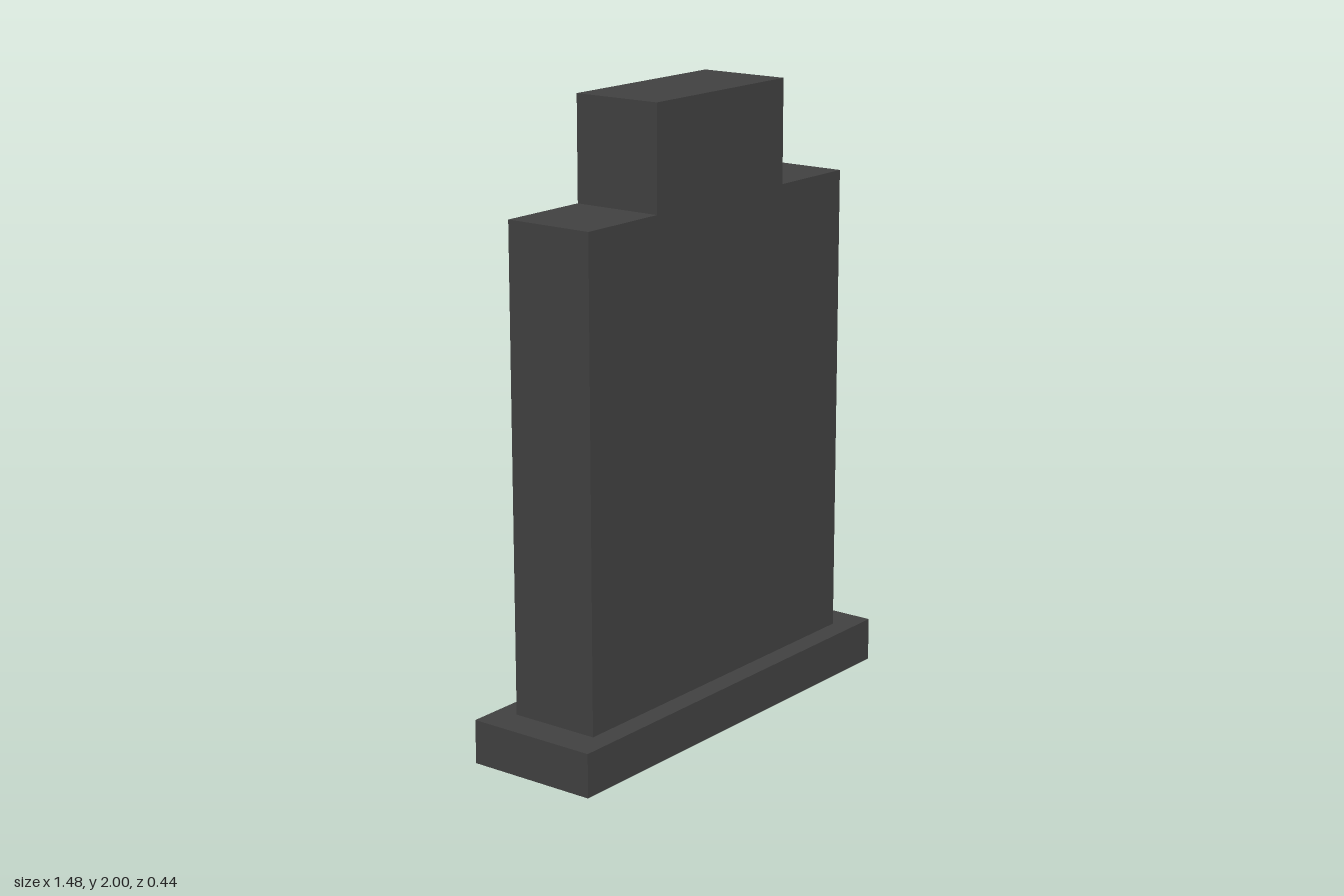
import * as THREE from 'three';

export function createModel() {
  const group = new THREE.Group();
  group.name = 'headstone';
  const stone = new THREE.MeshStandardMaterial({ color: 0x404040 });

  const baseHeight = 0.14;
  const depth = 0.3;

  // Plinth
  const plinth = new THREE.Mesh(new THREE.BoxGeometry(1.48, baseHeight, 0.44), stone);
  plinth.name = 'plinth';
  plinth.position.y = baseHeight / 2;
  group.add(plinth);

  // Upright slab with stepped shoulders, mirrored outline
  const half = [[0.63, baseHeight], [0.63, 1.67], [0.315, 1.67], [0.315, 2]];
  const mirrored = half.map(([x, y]) => [-x, y]).reverse();
  const outline = [...half, ...mirrored].map(([x, y]) => new THREE.Vector2(x, y));
  const slabGeometry = new THREE.ExtrudeGeometry(new THREE.Shape(outline), {
    depth,
    bevelEnabled: false,
  });
  slabGeometry.translate(0, 0, -depth / 2);
  const slab = new THREE.Mesh(slabGeometry, stone);
  slab.name = 'steppedSlab';
  group.add(slab);

  return group;
}
